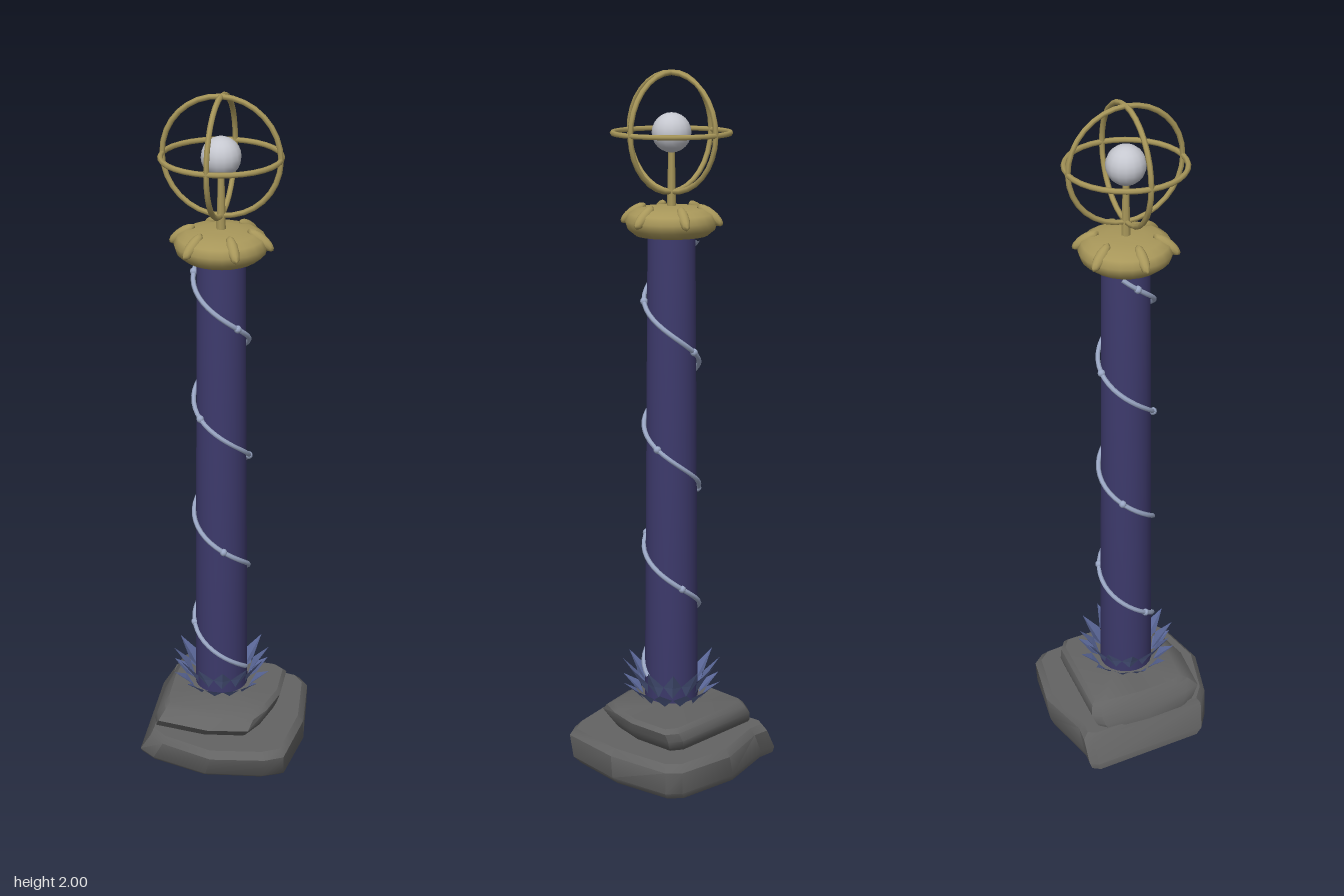
import * as THREE from 'three';
import { toCreasedNormals } from 'three/addons/utils/BufferGeometryUtils.js';

const mat = (name, color, extra = {}) => {
  const m = new THREE.MeshStandardMaterial({ color, ...extra });
  m.name = name;
  return m;
};

// Stone slab: an outline [x, z] stacked over levels [y, scaleX, scaleZ, dx, dz]
function slabGeometry(outline, levels) {
  const n = outline.length, pos = [], idx = [];
  for (const [y, sx, sz, dx, dz] of levels)
    for (const [x, z] of outline) pos.push(x * sx + dx, y, z * sz + dz);
  const first = levels[0], last = levels[levels.length - 1];
  pos.push(first[3], first[0], first[4], last[3], last[0], last[4]);
  const bottom = n * levels.length, top = bottom + 1, topRow = n * (levels.length - 1);
  for (let i = 0; i < n; i++) {
    const j = (i + 1) % n;
    for (let l = 0; l < levels.length - 1; l++) {
      const a = l * n + i, b = l * n + j, c = a + n, d = b + n;
      idx.push(a, c, b, b, c, d);
    }
    idx.push(bottom, i, j, top, topRow + j, topRow + i);
  }
  const g = new THREE.BufferGeometry();
  g.setAttribute('position', new THREE.Float32BufferAttribute(pos, 3));
  g.setIndex(idx);
  return toCreasedNormals(g, 0.7);
}

// Pointed diamond leaf with a raised centre ridge, facing +z
function leafGeometry([r0, y0], [r1, y1], [r2, y2], halfWidth) {
  const g = new THREE.BufferGeometry();
  g.setAttribute('position', new THREE.Float32BufferAttribute([
    0, y0, r0, halfWidth, y1, r1 - 0.006, 0, y2, r2, -halfWidth, y1, r1 - 0.006, 0, y1, r1 + 0.004,
  ], 3));
  g.setIndex([0, 1, 4, 1, 2, 4, 2, 3, 4, 3, 0, 4]);
  g.computeVertexNormals();
  return g;
}

// Helix that winds down around the column
class Helix extends THREE.Curve {
  at(y, target = new THREE.Vector3()) {
    const a = (1.42 - y) / 0.358 * Math.PI * 2;
    const r = 0.081 - (y - 0.27) * 0.004;
    return target.set(Math.sin(a) * r, y, Math.cos(a) * r);
  }
  getPoint(t, target) { return this.at(1.54 - t * 1.27, target); }
}

export function createModel() {
  const model = new THREE.Group();
  model.name = 'orbColumn';
  const stone = mat('stone', 0x636363);
  const indigo = mat('indigo', 0x3d3a6c);
  const leafBlue = mat('leafBlue', 0x5a6798, { side: THREE.DoubleSide, flatShading: true });
  const silver = mat('silver', 0x9ba8c6);
  const gold = mat('gold', 0xa8975a);
  const pearl = mat('pearl', 0xc6c8d0);

  const add = (name, geo, material, parent) => {
    const m = new THREE.Mesh(geo, material);
    m.name = name;
    parent.add(m);
    return m;
  };

  // Two rough stone steps
  add('lowerStone', slabGeometry(
    [[-0.245, -0.19], [-0.23, -0.215], [-0.175, -0.21], [0, -0.253], [0.185, -0.225], [0.22, -0.19],
      [0.247, 0], [0.225, 0.19], [0.17, 0.22], [0, 0.252], [-0.17, 0.21], [-0.22, 0.175]],
    [[0, 0.97, 0.9, -0.008, -0.012], [0.02, 1, 0.96, 0, -0.006], [0.085, 0.92, 1, 0.019, 0],
      [0.104, 0.87, 0.93, 0.015, 0]]), stone, model);
  add('upperStone', slabGeometry(
    [[-0.18, -0.15], [-0.16, -0.175], [0.13, -0.165], [0.165, -0.14], [0.172, 0], [0.15, 0.1],
      [0.12, 0.165], [0, 0.19], [-0.16, 0.175], [-0.175, 0.13], [-0.185, 0]],
    [[0.098, 0.93, 0.85, -0.025, -0.005], [0.115, 0.97, 0.92, -0.015, -0.005], [0.14, 0.97, 1, -0.004, 0],
      [0.165, 0.95, 0.9, 0.008, -0.01], [0.177, 0.89, 0.8, 0.008, -0.015]]), stone, model);

  const tower = new THREE.Group();
  tower.name = 'tower';
  tower.position.x = -0.008;
  model.add(tower);

  // Tapered shaft with soft ends
  const V = (x, y) => new THREE.Vector2(x, y);
  add('shaft', new THREE.LatheGeometry([V(0, 0.2), V(0.078, 0.2), V(0.066, 1.565), V(0, 1.565)], 24), indigo, tower);

  // Two staggered rings of leaves
  const leafRings = [
    [leafGeometry([0.085, 0.192], [0.108, 0.22], [0.146, 0.25], 0.026), 0],
    [leafGeometry([0.08, 0.215], [0.102, 0.258], [0.142, 0.312], 0.026), 0.5],
  ];
  for (const [geo, shift] of leafRings)
    for (let i = 0; i < 12; i++)
      add('leaf', geo, leafBlue, tower).rotation.y = (i + shift) * Math.PI / 6;

  // Spiral vine with small beads
  const helix = new Helix();
  add('vine', new THREE.TubeGeometry(helix, 110, 0.007, 6), silver, tower);
  const beadGeo = new THREE.SphereGeometry(0.011, 8, 6);
  for (let i = 0; i < 9; i++)
    add('vineBead', beadGeo, silver, tower).position.copy(helix.at(1.508 - i * 0.137));

  // Gold capital with six petals
  add('capital', new THREE.LatheGeometry([V(0, 1.553), V(0.1, 1.555), V(0.121, 1.572), V(0.128, 1.595),
    V(0.118, 1.615), V(0.095, 1.628), V(0.05, 1.634), V(0, 1.636)], 24), gold, tower);
  const petalGeo = new THREE.SphereGeometry(1, 10, 8);
  petalGeo.scale(0.044, 0.017, 0.016);
  petalGeo.rotateZ(-0.65);
  petalGeo.translate(0.108, 1.612, 0);
  for (let i = 0; i < 6; i++)
    add('petal', petalGeo, gold, tower).rotation.y = i * Math.PI / 3;

  // Stem, orb and three crossing rings
  const stem = add('stem', new THREE.CylinderGeometry(0.009, 0.013, 0.16, 8), gold, tower);
  stem.position.y = 1.705;
  const orb = add('orb', new THREE.SphereGeometry(0.054, 16, 12), pearl, tower);
  orb.position.y = 1.833;
  const ringGeo = new THREE.TorusGeometry(0.16, 0.0075, 6, 32);
  for (const [x, y] of [[0, 0], [0, Math.PI / 2], [Math.PI / 2, 0]]) {
    const ring = add('ring', ringGeo, gold, tower);
    ring.position.y = 1.8325;
    ring.rotation.set(x, y, 0);
  }
  return model;
}
